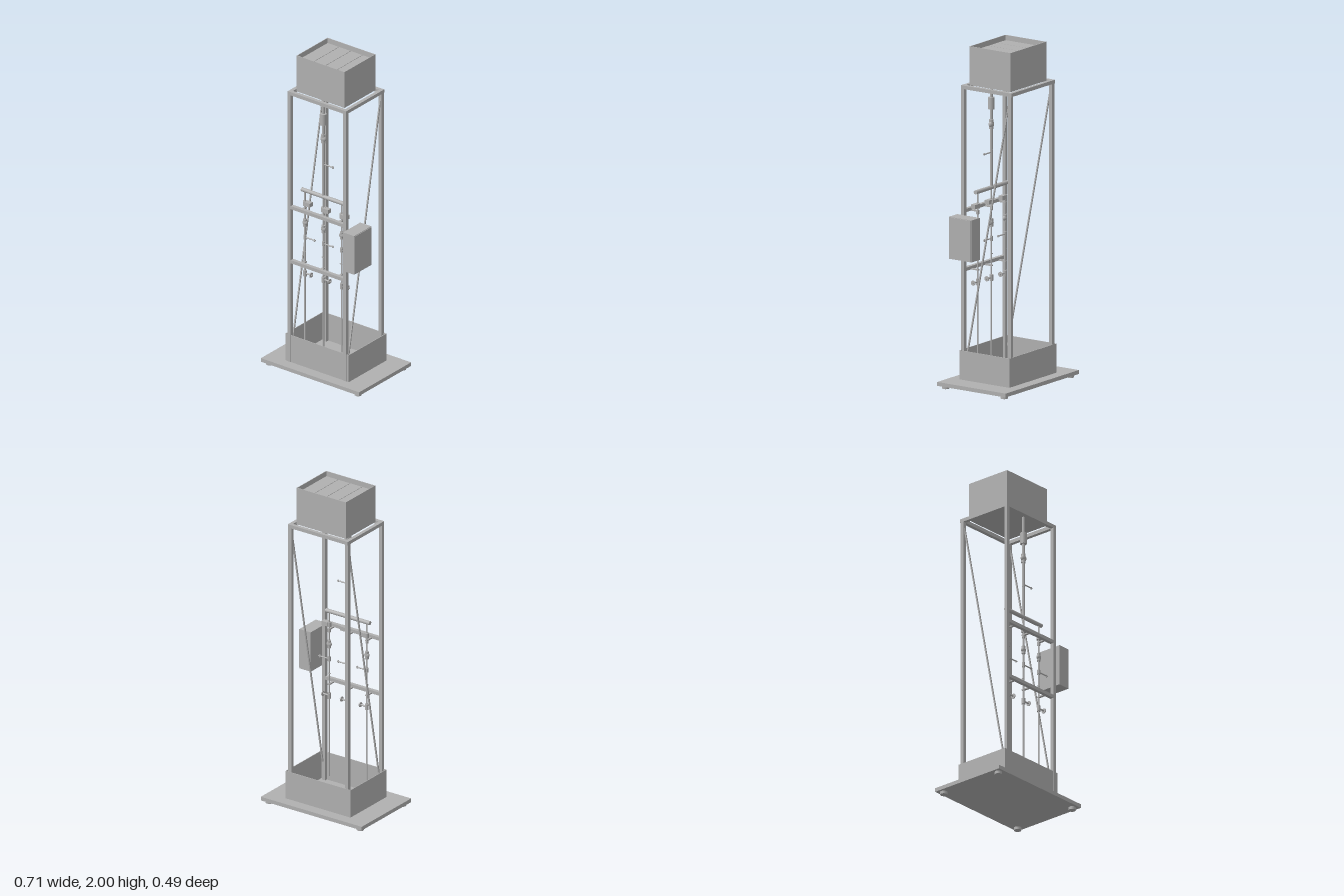
import * as THREE from 'three';

export function createModel() {
  const model = new THREE.Group();
  const grey = new THREE.MeshStandardMaterial({ color: 0xb0b0b0 });

  const add = (name, geometry, x, y, z, parent = model) => {
    const mesh = new THREE.Mesh(geometry, grey);
    mesh.name = name;
    mesh.position.set(x, y, z);
    parent.add(mesh);
    return mesh;
  };
  // Box given by its limits on each axis
  const box = (name, x0, x1, y0, y1, z0, z1, parent) =>
    add(name, new THREE.BoxGeometry(x1 - x0, y1 - y0, z1 - z0),
      (x0 + x1) / 2, (y0 + y1) / 2, (z0 + z1) / 2, parent);
  // Upright cylinder from y0 to y1
  const upright = (name, r, x, y0, y1, z, parent) =>
    add(name, new THREE.CylinderGeometry(r, r, y1 - y0, 20), x, (y0 + y1) / 2, z, parent);
  // Cylinder along x from x0 to x1
  const level = (name, r, x0, x1, y, z, parent) => {
    const mesh = add(name, new THREE.CylinderGeometry(r, r, x1 - x0, 20), (x0 + x1) / 2, y, z, parent);
    mesh.rotation.z = Math.PI / 2;
    return mesh;
  };
  // Four thin walls around a rectangle
  const walls = (name, x, z, y0, y1, t) => {
    for (const s of [-1, 1]) {
      box(name, -x, x, y0, y1, s * (z - t / 2) - t / 2, s * (z - t / 2) + t / 2);
      box(name, s * (x - t / 2) - t / 2, s * (x - t / 2) + t / 2, y0, y1, -z + t, z - t);
    }
  };

  // Base plate on four feet
  box('basePlate', -0.357, 0.357, 0.017, 0.04, -0.243, 0.243);
  for (const x of [-0.322, 0.322])
    for (const z of [-0.208, 0.208]) upright('foot', 0.021, x, 0, 0.018, z);

  // Open collecting tub
  walls('tubWall', 0.23, 0.177, 0.04, 0.212, 0.004);

  // Frame posts, top ring and diagonal side braces
  for (const s of [-1, 1]) {
    for (const z of [-0.164, 0.168])
      box('post', s * 0.201 - 0.011, s * 0.201 + 0.011, 0.04, 1.755, z - 0.011, z + 0.011);
    const low = new THREE.Vector3(s * 0.201, 0.16, 0.148);
    const high = new THREE.Vector3(s * 0.201, 1.755, -0.163);
    const brace = add('diagonalBrace', new THREE.BoxGeometry(0.008, low.distanceTo(high), 0.008), 0, 0, 0);
    brace.position.copy(low).lerp(high, 0.5);
    brace.rotation.x = Math.atan2(high.z - low.z, high.y - low.y);
  }
  walls('topRing', 0.212, 0.179, 1.752, 1.773, 0.022);

  // Cross rails at the front
  for (const y of [0.685, 1.032]) box('frontRail', -0.19, 0.19, y - 0.01, y + 0.01, 0.157, 0.179);

  // Top tank with a sunken lid of four panels
  walls('tankWall', 0.174, 0.145, 1.77, 2, 0.004);
  box('tankFloor', -0.17, 0.17, 1.77, 1.778, -0.141, 0.141);
  for (let i = 0; i < 4; i++) {
    const x = -0.17 + i * 0.085;
    box('lidPanel', x + 0.0015, x + 0.0835, 1.962, 1.97, -0.139, 0.139);
  }

  // Main supply pipe with filter, valve and sample tap
  const pz = 0.118;
  const supply = new THREE.Group();
  supply.name = 'supplyLine';
  model.add(supply);
  upright('mainPipe', 0.008, 0, 1.135, 1.772, pz, supply);
  upright('filter', 0.019, 0, 1.6, 1.67, pz, supply);

  const knob = (x, y, r, parent) => {
    const body = add('meter', new THREE.SphereGeometry(r, 20, 14), x, y, pz, parent);
    body.scale.z = 0.7;
    upright('meterCollar', r * 0.65, x, y - r * 1.4, y + r * 1.4, pz, parent);
  };
  const tap = (x, y, parent) => {
    upright('tapBody', 0.009, x, y - 0.014, y + 0.014, pz, parent);
    level('tapStem', 0.004, x, x + 0.075, y, pz, parent);
    upright('tapTip', 0.004, x + 0.068, y - 0.007, y + 0.007, pz, parent);
  };
  knob(0, 1.51, 0.02, supply);
  tap(0, 1.345, supply);

  // Manifold feeding three branch lines
  level('manifold', 0.012, -0.156, 0.156, 1.137, pz);
  for (const x of [-0.133, 0, 0.133]) {
    const branch = new THREE.Group();
    branch.name = 'branchLine';
    model.add(branch);
    upright('branchPipe', 0.005, x, 0.1, 1.135, pz, branch);

    // Powered valve
    upright('valveBody', 0.013, x, 1.04, 1.07, pz, branch);
    box('valveActuator', x, x + 0.045, 1.044, 1.069, pz - 0.015, pz + 0.015, branch);
    upright('valveCollar', 0.009, x, 1.005, 1.02, pz, branch);

    knob(x, 0.93, 0.017, branch);
    tap(x, 0.836, branch);
    level('sensor', 0.003, x - 0.012, x + 0.006, 0.745, pz, branch);

    // Hand valve with a small wheel
    upright('handValve', 0.011, x, 0.587, 0.623, pz, branch);
    level('valveStem', 0.005, x, x + 0.055, 0.606, pz, branch);
    level('handWheel', 0.015, x + 0.042, x + 0.047, 0.606, pz, branch);

    // Brackets to the front rails
    for (const y of [0.677, 1.024])
      box('pipeBracket', x - 0.007, x + 0.007, y - 0.004, y + 0.004, pz - 0.008, 0.158, branch);
  }

  // Control cabinet on the side
  box('controlCabinet', 0.212, 0.292, 0.76, 1.008, 0.046, 0.207);
  box('cabinetDoor', 0.292, 0.296, 0.763, 1.005, 0.049, 0.204);

  return model;
}
